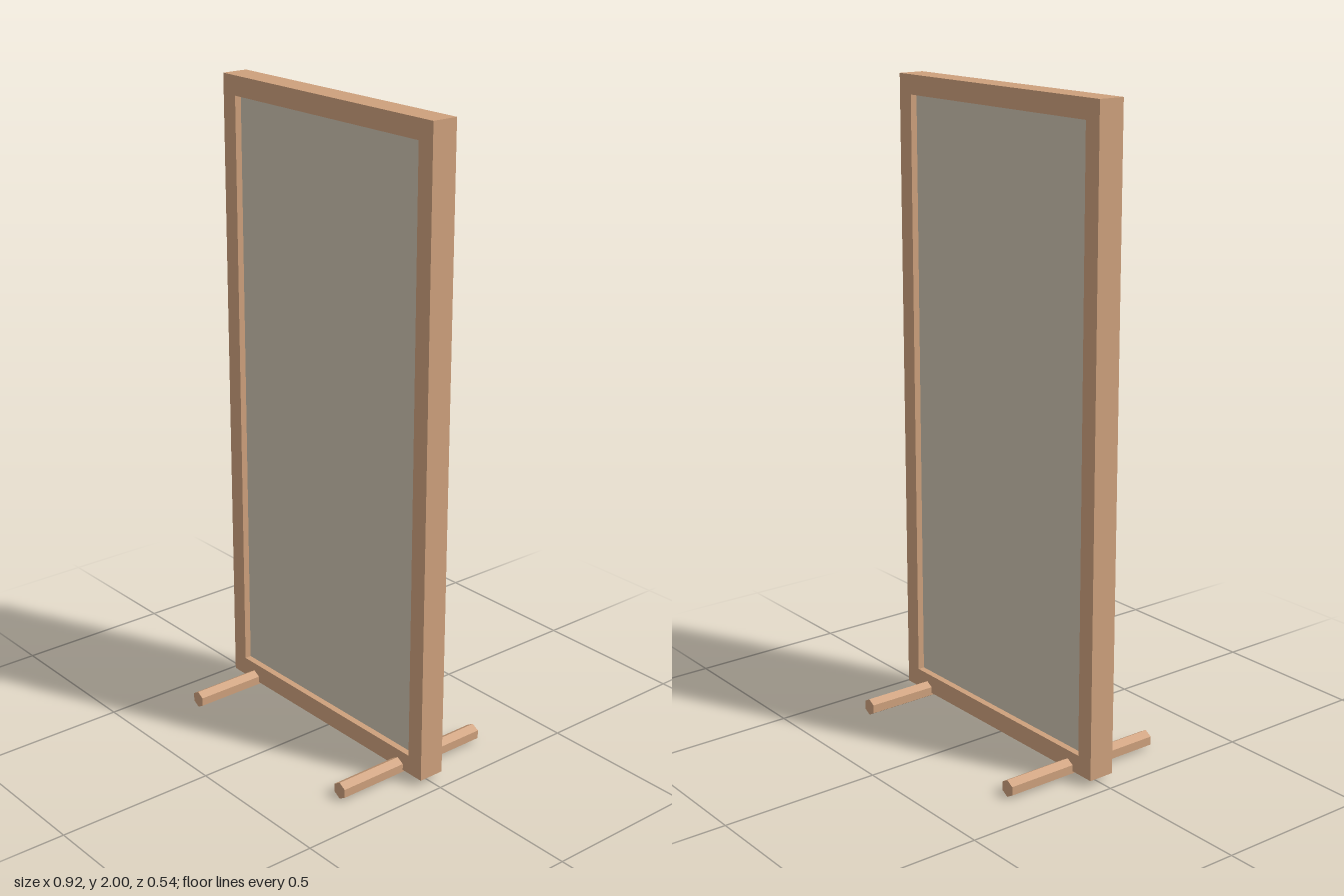
import * as THREE from 'three';

export function createModel() {
  const model = new THREE.Group();
  model.name = 'standingScreen';
  const wood = new THREE.MeshStandardMaterial({ color: 0xcda07c, flatShading: true });
  wood.name = 'wood';
  const fabric = new THREE.MeshStandardMaterial({ color: 0xcac1ae, flatShading: true });
  fabric.name = 'fabric';

  const add = (name, geometry, material, x, y, z) => {
    const mesh = new THREE.Mesh(geometry, material);
    mesh.name = name;
    mesh.position.set(x, y, z);
    model.add(mesh);
  };

  // Traces a rectangle as a shape or a hole
  const rect = (path, hw, y0, y1) =>
    path.moveTo(-hw, y0).lineTo(hw, y0).lineTo(hw, y1).lineTo(-hw, y1).closePath();

  // Frame: one piece with a rectangular opening
  const depth = 0.084;
  const outline = rect(new THREE.Shape(), 0.459, 0.02, 2);
  outline.holes.push(rect(new THREE.Path(), 0.403, 0.08, 1.94));
  const frame = new THREE.ExtrudeGeometry(outline, { depth, bevelEnabled: false });
  add('frame', frame, wood, 0, 0, -depth / 2);

  // Panel, recessed on both sides
  add('panel', new THREE.BoxGeometry(0.806, 1.86, 0.042), fabric, 0, 1.01, 0);

  // Hexagonal foot bars with a corner pointing up
  const radius = 0.0267;
  const bar = new THREE.CylinderGeometry(radius, radius, 0.54, 6).rotateX(Math.PI / 2);
  add('leftFoot', bar, wood, 0.355, radius, 0);
  add('rightFoot', bar, wood, -0.355, radius, 0);

  return model;
}
